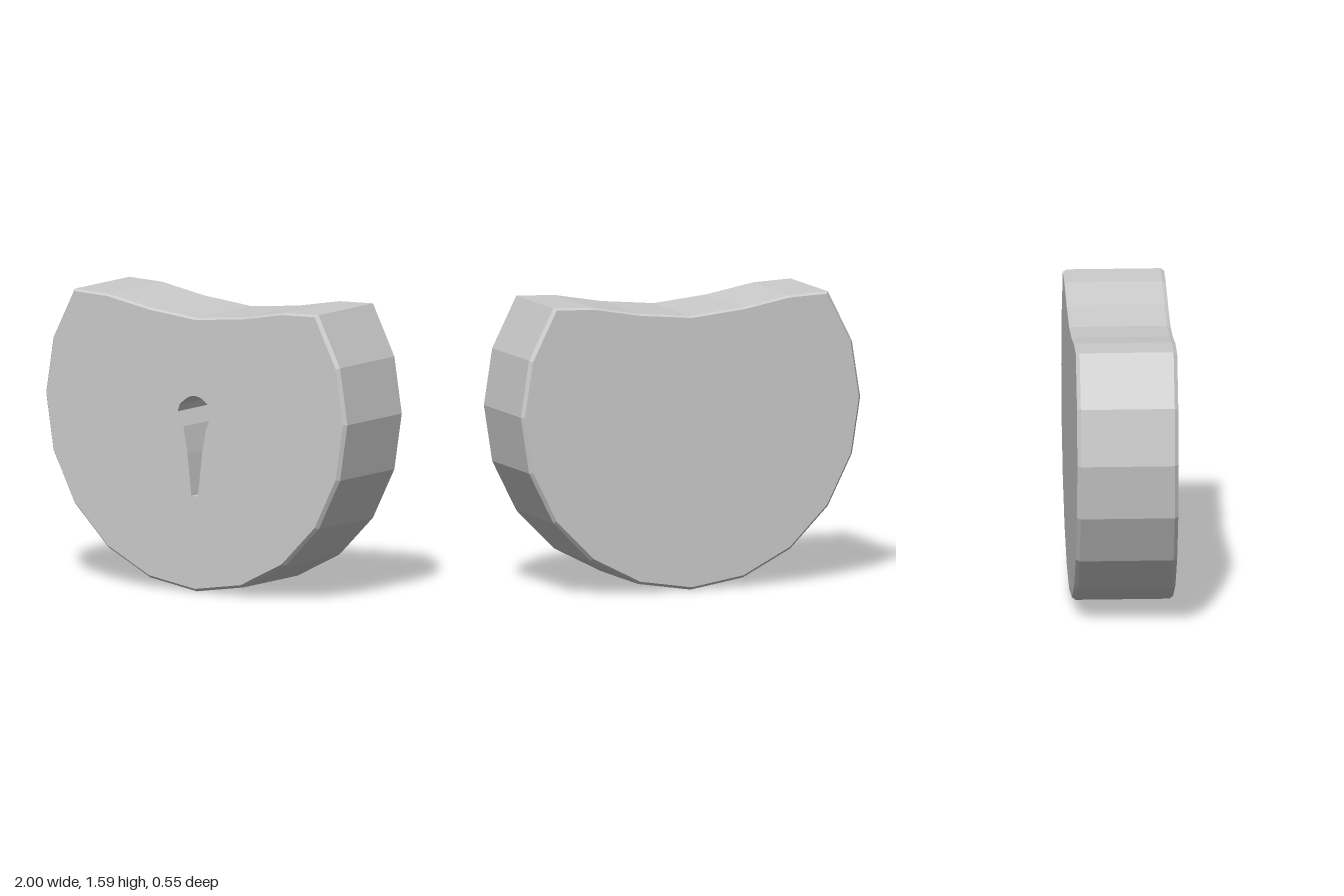
import * as THREE from 'three';

const material = new THREE.MeshStandardMaterial({ color: 0xcccccc, flatShading: true });
const HALF_DEPTH = 0.275, BEVEL = 0.02, HOLE_DEPTH = 0.3;

// Mirrors a right half (bottom centre to top centre) into a counter-clockwise loop.
function mirrored(half, closedBottom) {
  const left = half.slice(closedBottom ? 1 : 0, -1).reverse().map(([x, y]) => [-x, y]);
  return [...half, ...left].map(([x, y]) => new THREE.Vector2(x, y));
}

// Skins a band through loops of points, listed from back to front.
function band(rings) {
  const pos = [], index = [], n = rings[0].points.length;
  for (const { points, z } of rings) for (const p of points) pos.push(p.x, p.y, z);
  for (let r = 0; r < rings.length - 1; r++) {
    for (let i = 0; i < n; i++) {
      const a = r * n + i, b = r * n + (i + 1) % n;
      index.push(a, b, b + n, a, b + n, a + n);
    }
  }
  const g = new THREE.BufferGeometry();
  g.setAttribute('position', new THREE.Float32BufferAttribute(pos, 3));
  g.setIndex(index);
  g.computeVertexNormals();
  return g;
}

export function createModel() {
  const model = new THREE.Group();
  model.name = 'padlockBody';
  const add = (name, geometry) => {
    const mesh = new THREE.Mesh(geometry, material);
    mesh.name = name;
    model.add(mesh);
  };

  // Twenty-sided disc whose top is replaced by a shallow dip
  const half = [];
  for (let i = 0; i <= 7; i++) {
    const a = i * Math.PI / 10;
    half.push([Math.sin(a), 1 - Math.cos(a)]);
  }
  half.push([0.59, 1.58], [0.31, 1.53], [0, 1.5]);
  const outline = mirrored(half, true);
  const inset = outline.map(p => new THREE.Vector2(p.x * 0.984, 0.95 + (p.y - 0.95) * 0.984));

  // Rim with bevelled edges
  add('rim', band([
    { points: inset, z: -HALF_DEPTH },
    { points: outline, z: -HALF_DEPTH + BEVEL },
    { points: outline, z: HALF_DEPTH - BEVEL },
    { points: inset, z: HALF_DEPTH },
  ]));

  // Keyhole outline: round head over a tapering slot
  const keyhole = mirrored([
    [0.022, 0.524], [0.048, 0.755], [0.075, 0.9], [0.113, 0.98],
    [0.1, 1.02], [0.065, 1.05], [0.035, 1.068], [0, 1.075],
  ], false);

  // Front face with the keyhole cut out
  const face = new THREE.Shape(inset);
  face.holes.push(new THREE.Path(keyhole));
  add('frontFace', new THREE.ShapeGeometry(face).translate(0, 0, HALF_DEPTH));

  // Plain back face
  add('backFace', new THREE.ShapeGeometry(new THREE.Shape(inset))
    .rotateY(Math.PI).translate(0, 0, -HALF_DEPTH));

  // Recess walls face inwards, closed by a floor
  const inward = [...keyhole].reverse();
  const floorZ = HALF_DEPTH - HOLE_DEPTH;
  add('keyholeWalls', band([{ points: inward, z: floorZ }, { points: inward, z: HALF_DEPTH }]));
  add('keyholeFloor', new THREE.ShapeGeometry(new THREE.Shape(keyhole)).translate(0, 0, floorZ));

  return model;
}
